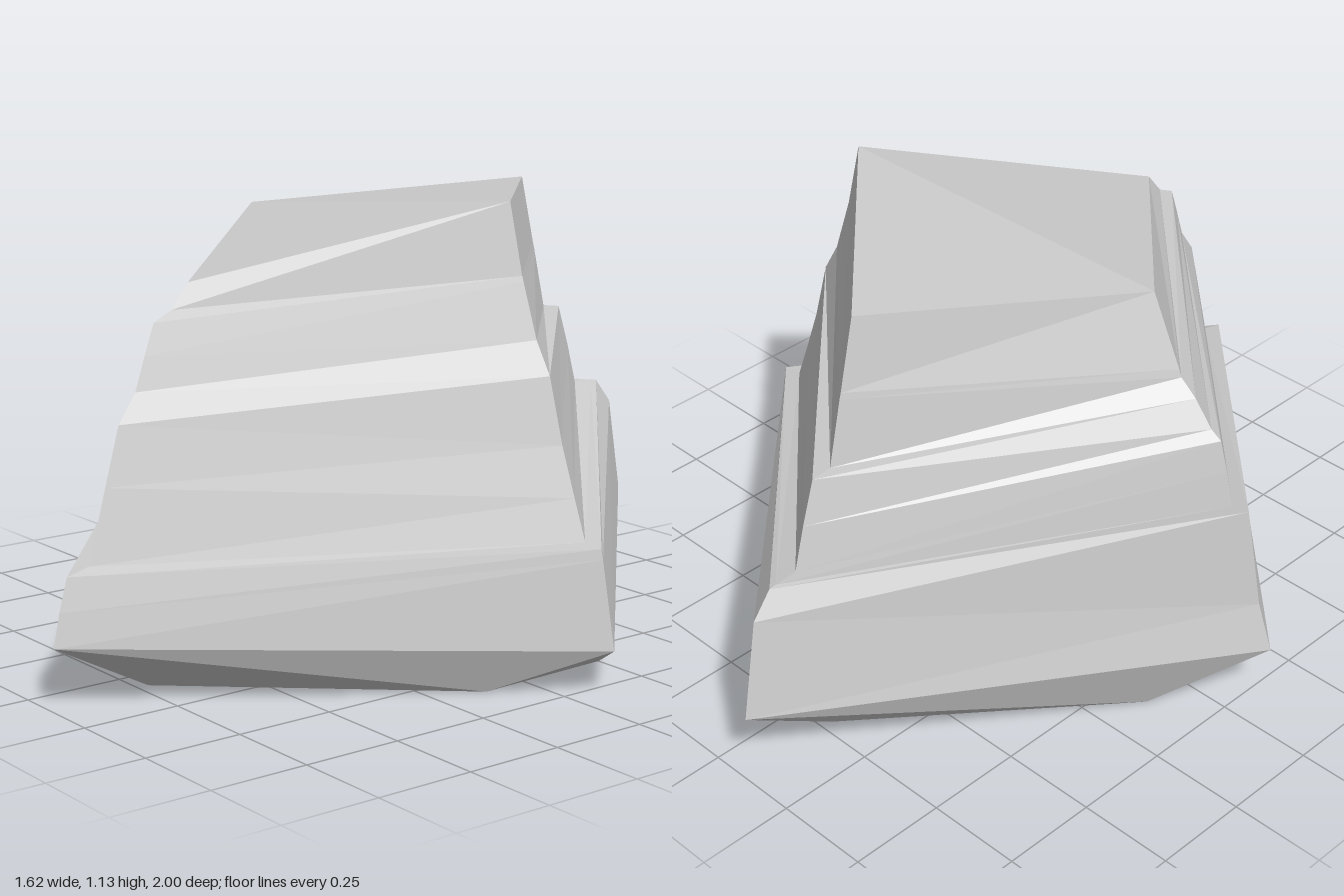
import * as THREE from 'three';

// Four corner edges of the boulder, each a profile of [outward distance, height]
// from the widest rim up to the top. "side" is the sideways drift from rim to top.
const corners = [
  { name: 'front', dir: [0, 1], side: [0.115, 0.065], profile: [
    [0.995, 0.15], [0.975, 0.23], [0.95, 0.31], [0.89, 0.325], [0.835, 0.5],
    [0.79, 0.64], [0.74, 0.71], [0.71, 0.79], [0.68, 0.865], [0.63, 0.89], [0.58, 0.95]] },
  { name: 'left', dir: [1, 0], side: [-0.1, -0.06], profile: [
    [0.81, 0.105], [0.775, 0.32], [0.77, 0.345], [0.715, 0.35], [0.68, 0.45],
    [0.64, 0.57], [0.6, 0.73], [0.555, 0.81], [0.512, 0.945], [0.508, 0.957], [0.47, 1.13]] },
  { name: 'back', dir: [0, -1], side: [-0.12, -0.075], profile: [
    [1.0, 0.195], [0.945, 0.45], [0.89, 0.515], [0.87, 0.517], [0.81, 0.52],
    [0.775, 0.63], [0.735, 0.74], [0.68, 0.745], [0.635, 0.91], [0.63, 0.925], [0.58, 1.105]] },
  { name: 'right', dir: [-1, 0], side: [0.09, 0.045], profile: [
    [0.81, 0.165], [0.77, 0.29], [0.73, 0.555], [0.68, 0.545], [0.66, 0.64],
    [0.64, 0.72], [0.61, 0.74], [0.56, 0.805], [0.515, 0.845], [0.508, 0.865], [0.43, 1.05]] },
];

// Flat underside: two [x, z] points beneath each corner, in the same order
const footprint = [
  [[-0.08, 0.71], [0.08, 0.72]],
  [[0.61, 0.12], [0.6, -0.25]],
  [[0.09, -0.71], [-0.1, -0.72]],
  [[-0.6, -0.12], [-0.59, 0.2]],
];

function cornerPoint({ dir, side, profile }, ring) {
  const [out, y] = profile[ring];
  const y0 = profile[0][1], y1 = profile[profile.length - 1][1];
  const drift = THREE.MathUtils.lerp(side[0], side[1], (y - y0) / (y1 - y0));
  return dir[0] ? [dir[0] * out, y, drift] : [drift, y, dir[1] * out];
}

function makeMesh(name, triangles, material) {
  const geometry = new THREE.BufferGeometry();
  geometry.setAttribute('position', new THREE.Float32BufferAttribute(triangles.flat(2), 3));
  geometry.computeVertexNormals();
  const mesh = new THREE.Mesh(geometry, material);
  mesh.name = name;
  return mesh;
}

export function createModel() {
  const group = new THREE.Group();
  group.name = 'layeredRock';
  const material = new THREE.MeshStandardMaterial({ color: 0xcccccc, flatShading: true });
  const ringCount = corners[0].profile.length;
  const rings = Array.from({ length: ringCount }, (_, r) => corners.map((c) => cornerPoint(c, r)));

  // Stepped walls between neighbouring rings
  const walls = [];
  for (let r = 0; r + 1 < ringCount; r++) {
    for (let i = 0; i < 4; i++) {
      const j = (i + 1) % 4;
      const [a, b, c, d] = [rings[r][i], rings[r][j], rings[r + 1][j], rings[r + 1][i]];
      walls.push([a, b, c], [a, c, d]);
    }
  }
  group.add(makeMesh('steppedWalls', walls, material));

  // Top, folded along the left-right diagonal
  const [front, left, back, right] = rings[ringCount - 1];
  group.add(makeMesh('topFace', [[right, front, left], [right, left, back]], material));

  // Undercut facets running from the rim to the ground
  const base = footprint.map((pair) => pair.map(([x, z]) => [x, 0, z]));
  const undercut = [];
  for (let i = 0; i < 4; i++) {
    const j = (i + 1) % 4;
    const rim = rings[0];
    undercut.push([base[i][0], base[i][1], rim[i]]);
    undercut.push([base[i][1], base[j][0], rim[i]], [base[j][0], rim[j], rim[i]]);
  }
  group.add(makeMesh('undercut', undercut, material));

  // Flat underside as a fan
  const outline = base.flat();
  const underside = [];
  for (let i = 1; i < outline.length - 1; i++) underside.push([outline[0], outline[i + 1], outline[i]]);
  group.add(makeMesh('underside', underside, material));
  return group;
}
